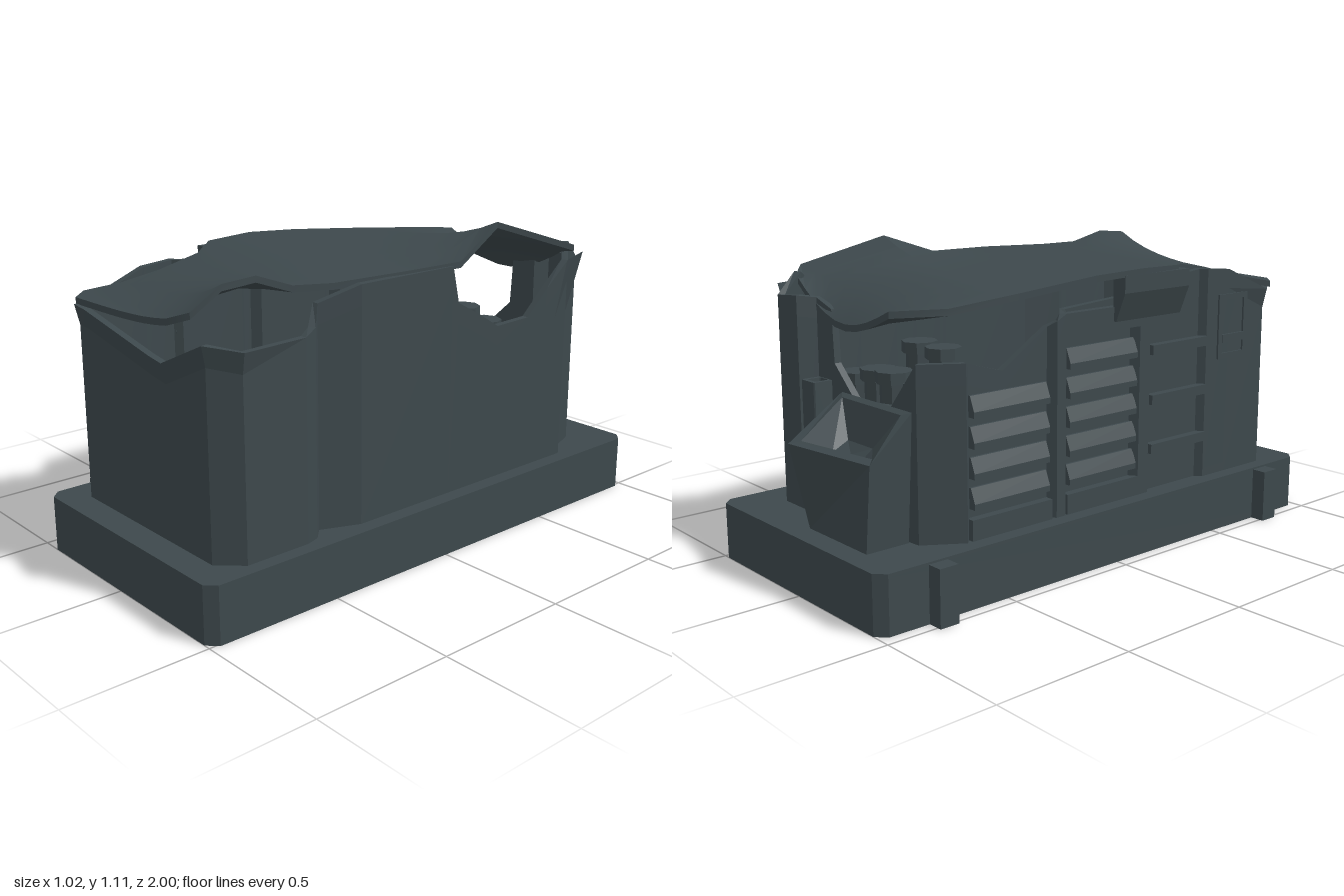
import * as THREE from 'three';
import { toCreasedNormals } from 'three/addons/utils/BufferGeometryUtils.js';

export function createModel() {
  const model = new THREE.Group();
  const slate = new THREE.MeshStandardMaterial({ color: 0x3d484c, side: THREE.DoubleSide });
  slate.name = 'dark slate metal';

  const add = (name, geo, x = 0, y = 0, z = 0) => {
    const mesh = new THREE.Mesh(geo, slate);
    mesh.name = name;
    mesh.position.set(x, y, z);
    model.add(mesh);
  };
  const box = (name, x0, x1, y0, y1, z0, z1) =>
    add(name, new THREE.BoxGeometry(x1 - x0, y1 - y0, z1 - z0), (x0 + x1) / 2, (y0 + y1) / 2, (z0 + z1) / 2);

  // Skin equal-length cross-sections; columns and rows may wrap around
  const loft = (sections, closeRows, closeCols, crease) => {
    const rows = sections.length, cols = sections[0].length, index = [];
    for (let i = 0; i < rows - (closeRows ? 0 : 1); i++) {
      for (let j = 0; j < cols - (closeCols ? 0 : 1); j++) {
        const i2 = (i + 1) % rows, j2 = (j + 1) % cols;
        const a = i * cols + j, b = i2 * cols + j, c = i2 * cols + j2, d = i * cols + j2;
        index.push(a, b, c, a, c, d);
      }
    }
    const geo = new THREE.BufferGeometry();
    geo.setAttribute('position', new THREE.Float32BufferAttribute(sections.flat(2), 3));
    geo.setIndex(index);
    return toCreasedNormals(geo, crease);
  };

  // Chamfered rectangle standing on the ground plane, extruded upwards
  const outline = (Cls, x0, x1, z0, z1, c) => new Cls([
    [x0 + c, z0], [x1 - c, z0], [x1, z0 + c], [x1, z1 - c],
    [x1 - c, z1], [x0 + c, z1], [x0, z1 - c], [x0, z0 + c],
  ].map(([x, z]) => new THREE.Vector2(x, -z)));
  const extrudeUp = (shape, depth) =>
    new THREE.ExtrudeGeometry(shape, { depth, bevelEnabled: false }).rotateX(-Math.PI / 2);

  // Hollow base, open underneath
  const skirt = outline(THREE.Shape, -0.46, 0.51, -1, 1, 0.035);
  skirt.holes.push(outline(THREE.Path, -0.455, 0.505, -0.995, 0.995, 0.033));
  add('baseSkirt', extrudeUp(skirt, 0.19));
  add('baseDeck', extrudeUp(outline(THREE.Shape, -0.46, 0.51, -1, 1, 0.035), 0.01), 0, 0.19);
  for (const z of [-0.78, 0.77]) box('baseTab', -0.515, -0.46, 0, 0.193, z - 0.036, z + 0.036);

  // Hatches on the underside of the deck
  for (const z of [-0.36, 0.05]) {
    add('undersideHatch', extrudeUp(outline(THREE.Shape, -0.34, -0.13, z - 0.16, z + 0.16, 0.04), 0.006), 0, 0.184);
  }

  // Torn housing wall: x, z and height of the ragged rim, anticlockwise from above
  const path = [
    [-0.405, 0.82, 0.88], [-0.34, 0.9, 0.89], [-0.28, 0.9, 0.885], [0.1, 0.9, 0.81], [0.17, 0.9, 0.8],
    [0.385, 0.9, 0.9], [0.46, 0.82, 0.88], [0.46, 0.58, 0.88], [0.445, 0.53, 0.9], [0.4, 0.485, 0.96],
    [0.455, 0.35, 1.01], [0.455, -0.06, 1.01], [0.455, -0.09, 0.88], [0.455, -0.2, 0.82], [0.455, -0.29, 0.765],
    [0.455, -0.45, 0.77], [0.455, -0.55, 0.86], [0.455, -0.66, 0.95], [0.39, -0.74, 1], [0.36, -0.825, 0.93],
    [0.24, -0.825, 0.94], [0.22, -0.76, 0.93], [0.13, -0.76, 0.9], [0.12, -0.76, 0.72], [0, -0.76, 0.61],
    [-0.2, -0.76, 0.63], [-0.32, -0.75, 0.78],
    [-0.405, -0.62, 0.78], [-0.375, -0.59, 0.77], [-0.375, -0.45, 0.73], [-0.375, -0.26, 0.85],
    [-0.405, -0.24, 0.87], [-0.405, -0.2, 0.89], [-0.375, -0.18, 0.9], [-0.375, 0.13, 0.92], [-0.405, 0.15, 0.93],
    [-0.405, 0.2, 0.95], [-0.38, 0.22, 0.95], [-0.38, 0.48, 0.98], [-0.405, 0.5, 0.98], [-0.405, 0.62, 0.97],
  ];
  add('housingWall', loft(path.map(([x, z, top], i) => {
    const p = path[(i + path.length - 1) % path.length], q = path[(i + 1) % path.length];
    const n = new THREE.Vector2(p[1] - q[1], q[0] - p[0]).normalize();
    const lip = z > 0.8 ? 0.016 : 0;
    const at = (out, y) => [x + n.x * out, y, z + n.y * out];
    return [at(0, 0.2), at(0, top - 0.07), at(lip, top), at(lip - 0.025, top), at(-0.025, 0.2)];
  }), true, false, 0.15));

  // Buckled roof sheet: left edge x, y, z, right edge x, y, z and bulge, rear to front
  const ribs = [
    [-0.3, 0.95, -0.83, 0.38, 0.99, -0.74, -0.09], [-0.4, 0.955, -0.68, 0.48, 1.01, -0.66, -0.01],
    [-0.425, 0.98, -0.42, 0.34, 1.105, -0.4, 0.005], [-0.44, 1.01, -0.1, 0.45, 1.02, -0.1, 0],
    [-0.46, 1.02, 0.1, 0.44, 1.02, 0.15, 0], [-0.44, 1.015, 0.3, 0.4, 1.015, 0.42, 0],
    [-0.34, 1, 0.42, 0.36, 1.02, 0.55, 0], [-0.31, 0.97, 0.6, 0.32, 1.06, 0.66, 0],
    [-0.36, 0.935, 0.72, 0.31, 1.05, 0.78, 0], [-0.43, 0.91, 0.83, 0.27, 0.97, 0.87, 0],
    [-0.36, 0.91, 0.9, 0.2, 0.945, 0.91, 0],
  ];
  const steps = 9, thick = 0.022;
  const rib = ([x0, y0, z0, x1, y1, z1, bulge], drop) => {
    const top = [];
    for (let k = 0; k <= steps; k++) {
      const t = k / steps, mix = (a, b, s) => a + (b - a) * s;
      const y = mix(y0, y1, 0.35 * t + 0.65 * t ** 4) + bulge * Math.sin(Math.PI * t);
      top.push([mix(x0, x1, t), y - drop, mix(z0, z1, t)]);
    }
    const under = top.map(([x, y, z]) => [x, y - (thick - drop), z]).reverse();
    return [...top, ...under];
  };
  add('buckledRoof', loft(
    [rib(ribs[0], thick), ...ribs.map((r) => rib(r, 0)), rib(ribs.at(-1), thick)], false, true, 0.6));

  // Flared flap on the right side, under the roof edge
  const flap = new THREE.Shape([[-0.4, 0.84], [-0.4, 1], [-0.455, 1], [-0.455, 0.94], [-0.415, 0.84]]
    .map(([x, y]) => new THREE.Vector2(x, y)));
  add('sideFlap', new THREE.ExtrudeGeometry(flap, { depth: 0.32, bevelEnabled: false }), 0, 0, 0.02);

  // Bent shard at the left rear corner
  add('bentShard', loft([[[0.455, 0.74, -0.6], [0.485, 0.96, -0.62]], [[0.39, 0.74, -0.745], [0.42, 0.96, -0.79]]],
    false, false, 0.1));

  // Sunken louvre panels on the right side
  const slat = new THREE.Shape([[0, 0], [0, 0.07], [-0.01, 0.07], [-0.03, 0.02], [-0.03, 0]]
    .map(([x, y]) => new THREE.Vector2(x, y)));
  for (const [z, count] of [[-0.59, 4], [-0.18, 5]]) {
    for (let i = 0; i < count; i++) {
      add('louvreSlat', new THREE.ExtrudeGeometry(slat, { depth: 0.32, bevelEnabled: false }), -0.374, 0.3 + i * 0.1, z);
    }
    box('louvreSill', -0.405, -0.375, 0.2, 0.27, z - 0.01, z + 0.33);
  }
  box('louvreHeader', -0.405, -0.375, 0.81, 0.89, -0.2, 0.15);

  // Ladder rungs and upper vent on the right side
  for (const y of [0.34, 0.52, 0.7]) box('ladderRung', -0.412, -0.375, y, y + 0.035, 0.21, 0.5);
  for (const z of [0.56, 0.7]) box('ventFrame', -0.412, -0.4, 0.64, 0.88, z, z + 0.02);
  for (const y of [0.64, 0.86]) box('ventFrame', -0.412, -0.4, y, y + 0.02, 0.56, 0.72);
  box('ventLip', -0.415, -0.4, 0.7, 0.73, 0.58, 0.7);

  // Rear hopper with a sunken sloping mouth
  const ring = (x0, x1, zL, zR, front, yBack, yFront) =>
    [[x1, yBack, zR], [x0, yBack, zL], [x0, yFront, front], [x1, yFront, front]];
  add('rearHopper', loft([
    ring(-0.28, 0.05, -0.92, -0.92, -0.76, 0.2, 0.2),
    ring(-0.31, 0.08, -0.92, -0.97, -0.76, 0.49, 0.63),
    ring(-0.28, 0.05, -0.89, -0.94, -0.78, 0.5, 0.62),
    ring(-0.18, -0.04, -0.86, -0.88, -0.82, 0.47, 0.5),
    ring(-0.1, -0.1, -0.85, -0.85, -0.85, 0.47, 0.47),
  ], false, true, 0.1));

  // Square exhaust pipe beside the hopper
  const pipe = outline(THREE.Shape, -0.04, 0.04, -0.04, 0.04, 0.004);
  pipe.holes.push(outline(THREE.Path, -0.025, 0.025, -0.025, 0.025, 0.003));
  add('exhaustPipe', extrudeUp(pipe, 0.2), 0.18, 0.46, -0.79);

  // Machinery inside: block and octagonal canisters with feet showing under the deck
  box('engineBlock', -0.3, 0.3, 0.2, 0.52, -0.68, 0.6);
  const canisters = [
    [0.13, -0.58, 0.68], [-0.02, -0.62, 0.7], [-0.18, -0.62, 0.68], [-0.3, -0.57, 0.66],
    [0.15, -0.39, 0.75], [0, -0.4, 0.75], [0.3, -0.55, 0.64],
    [0.35, 0.8, 0.7], [0.2, 0.8, 0.7], [0.05, 0.8, 0.7], [-0.1, 0.79, 0.7], [-0.25, 0.78, 0.7],
  ];
  const octagon = (name, radius, y0, y1, x, z) => {
    const geo = toCreasedNormals(new THREE.CylinderGeometry(radius, radius, y1 - y0, 8), 0.2);
    add(name, geo, x, (y0 + y1) / 2, z);
  };
  for (const [x, z, top] of canisters) {
    octagon('canister', 0.05, 0.2, top - 0.04, x, z);
    octagon('canisterCap', 0.065, top - 0.04, top, x, z);
    octagon('canisterFoot', 0.058, 0.184, 0.19, x, z);
  }
  return model;
}
